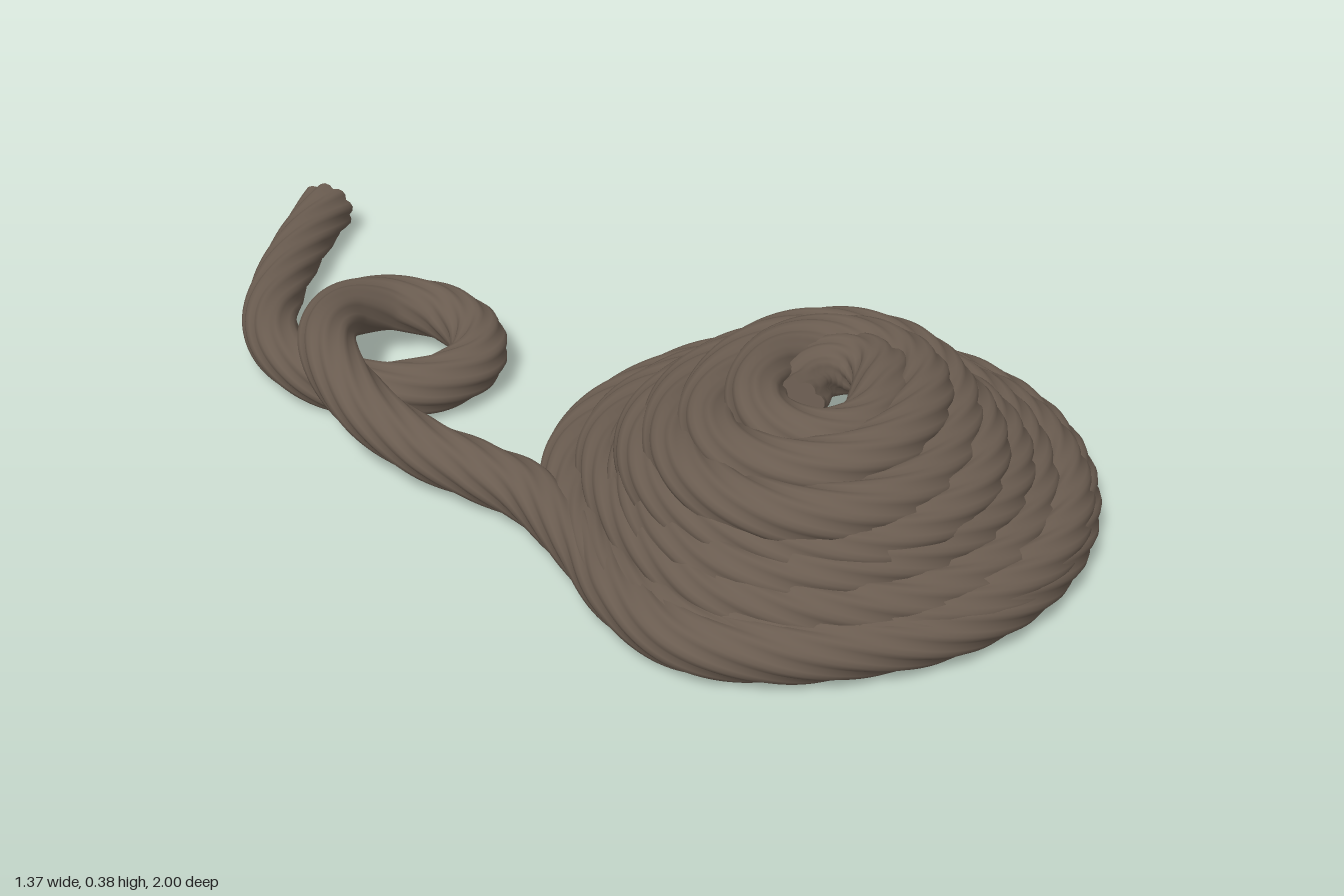
import * as THREE from 'three';

const ROPE_RADIUS = 0.059;
const STRANDS = 9;
const SIDES = STRANDS * 4;
const SEGMENTS = 1700;
const TWIST = 6; // radians per unit of length

// Loose end, with one loop lying over itself, leading into the coil
const TAIL = [
  [-0.35, 0.06, -0.96], [-0.45, 0.06, -0.83], [-0.55, 0.06, -0.68], [-0.615, 0.06, -0.54],
  [-0.625, 0.06, -0.42], [-0.58, 0.06, -0.29], [-0.5, 0.062, -0.205], [-0.39, 0.065, -0.175],
  [-0.29, 0.07, -0.21], [-0.252, 0.075, -0.3], [-0.29, 0.085, -0.4], [-0.39, 0.105, -0.445],
  [-0.5, 0.135, -0.405], [-0.57, 0.152, -0.3], [-0.588, 0.145, -0.19], [-0.565, 0.115, -0.06],
  [-0.5, 0.085, 0.06], [-0.42, 0.07, 0.165], [-0.36, 0.066, 0.27],
];

// One entry per turn: coil radius, height, centre x, centre z
const TURNS = [
  [0.475, 0.063, 0.145, 0.47], [0.465, 0.072, 0.15, 0.475], [0.41, 0.112, 0.145, 0.495],
  [0.355, 0.152, 0.13, 0.515], [0.315, 0.198, 0.105, 0.525], [0.287, 0.243, 0.108, 0.525],
  [0.222, 0.29, 0.12, 0.52], [0.15, 0.316, 0.133, 0.515], [0.075, 0.285, 0.14, 0.505],
];

// Rounded bump in the coil's outline around one angle
const bump = (angle, centre, width) => Math.exp(-(((angle - centre) / width) ** 2));

function coilPoint(turn) {
  const i = Math.min(Math.floor(turn), TURNS.length - 2);
  const [r, y, cx, cz] = TURNS[i].map((v, k) => THREE.MathUtils.lerp(v, TURNS[i + 1][k], turn - i));
  const a = turn * Math.PI * 2;
  const settle = Math.min(turn, 1);
  // the inner turns become oval; the outer ones bulge at the two left corners
  const oval = 0.01 + 0.3 * Math.pow(turn / 8, 4);
  const around = a % (Math.PI * 2);
  const bulge = (0.052 * bump(around, 0.65, 0.38) + 0.025 * bump(around, 5.55, 0.35))
    * Math.max(0, 1 - turn / 4);
  // slight wobble keeps the coil hand-laid
  const wobble = 0.008 * Math.sin(a * 2.37) * settle * Math.min(1, (8 - turn) / 3);
  const radius = r * (1 + oval * Math.cos(2 * (a - Math.PI / 4))) + bulge + wobble;
  // the top leans up a little towards the front
  const lift = 0.006 * Math.sin(a * 1.63) * settle + 0.01 * Math.sin(a) * Math.max(0, turn / 4 - 1);
  return new THREE.Vector3(cx - radius * Math.cos(a), y + lift, cz + radius * Math.sin(a));
}

function ropePath() {
  const points = TAIL.map((p) => new THREE.Vector3(...p));
  const perTurn = 20;
  for (let i = 0; i <= 8 * perTurn; i++) points.push(coilPoint(i / perTurn));
  const curve = new THREE.CatmullRomCurve3(points, false, 'centripetal');
  curve.arcLengthDivisions = 4000;
  return curve;
}

// Rings of strand-shaped lobes, turned steadily along the path
function ropeRings(curve) {
  const length = curve.getLength();
  const { normals, binormals } = curve.computeFrenetFrames(SEGMENTS, false);
  const rings = [];
  for (let i = 0; i <= SEGMENTS; i++) {
    const s = (i / SEGMENTS) * length;
    const centre = curve.getPointAt(i / SEGMENTS);
    const flare = 1 + 0.06 * Math.max(0, 1 - s / 0.06);
    const ring = [];
    for (let j = 0; j < SIDES; j++) {
      const t = (j / SIDES) * Math.PI * 2;
      const r = ROPE_RADIUS * flare * (0.86 + 0.14 * Math.abs(Math.sin((t * STRANDS) / 2)));
      const a = t + s * TWIST;
      ring.push(centre.clone()
        .addScaledVector(normals[i], r * Math.cos(a))
        .addScaledVector(binormals[i], r * Math.sin(a)));
    }
    rings.push(ring);
  }
  return rings;
}

function buildGeometry(points, index) {
  const geometry = new THREE.BufferGeometry().setFromPoints(points);
  geometry.setIndex(index);
  geometry.computeVertexNormals();
  return geometry;
}

function sideGeometry(rings) {
  const index = [];
  for (let i = 0; i < SEGMENTS; i++) {
    for (let j = 0; j < SIDES; j++) {
      const k = (j + 1) % SIDES;
      const a = i * SIDES + j, b = i * SIDES + k;
      const c = a + SIDES, d = b + SIDES;
      index.push(a, b, c, b, d, c);
    }
  }
  return buildGeometry(rings.flat(), index);
}

function capGeometry(ring, centre, atStart) {
  const index = [];
  for (let j = 0; j < SIDES; j++) {
    const k = (j + 1) % SIDES;
    index.push(SIDES, atStart ? k : j, atStart ? j : k);
  }
  return buildGeometry([...ring, centre], index);
}

export function createModel() {
  const group = new THREE.Group();
  group.name = 'coiledRope';
  const material = new THREE.MeshStandardMaterial({ color: 0x6a5c50 });
  const curve = ropePath();
  const rings = ropeRings(curve);

  const add = (name, geometry) => {
    const mesh = new THREE.Mesh(geometry, material);
    mesh.name = name;
    group.add(mesh);
  };
  add('rope', sideGeometry(rings));
  add('looseEnd', capGeometry(rings[0], curve.getPoint(0), true));
  add('innerEnd', capGeometry(rings[SEGMENTS], curve.getPoint(1), false));
  return group;
}
